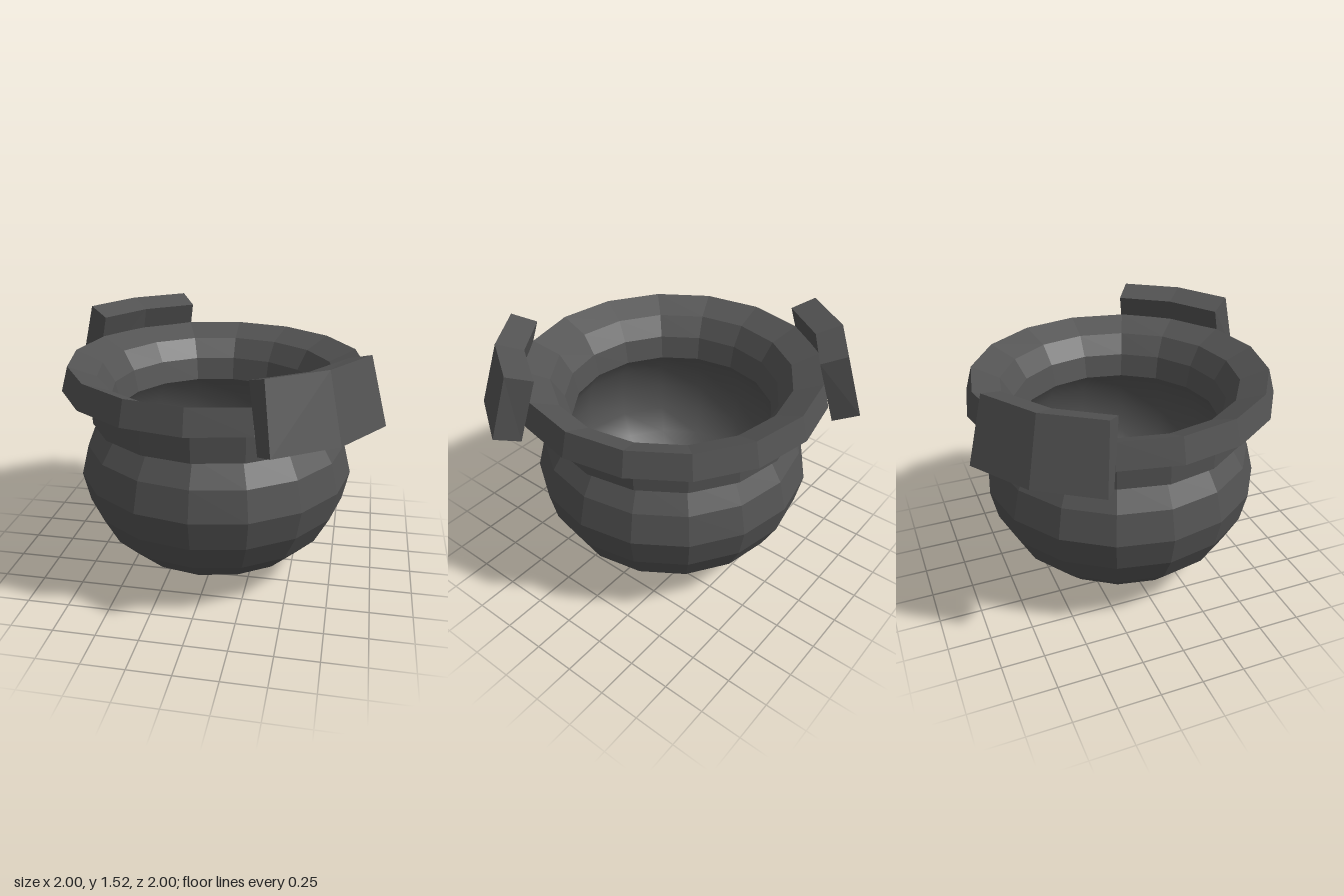
import * as THREE from 'three';

const SIDES = 16;
const COLOR = 0x525252;

function lathe(name, profile, flatShading) {
  const points = profile.map(([r, y]) => new THREE.Vector2(r, y));
  const mesh = new THREE.Mesh(
    new THREE.LatheGeometry(points, SIDES),
    new THREE.MeshStandardMaterial({ color: COLOR, flatShading })
  );
  mesh.name = name;
  return mesh;
}

// Bent, tilted slab swept through three four-cornered sections
function handleGeometry() {
  // each corner: [long side, short side, middle, height]
  const corners = [
    [0.90, 0.40, 0.70, 1.52], // outer top
    [1.00, 0.45, 0.78, 1.15], // outer bottom
    [0.87, 0.37, 0.66, 1.10], // inner bottom
    [0.78, 0.31, 0.59, 1.47], // inner top
  ];
  const sections = [
    corners.map(([l, s, , y]) => [l, y, s]),
    corners.map(([, , m, y]) => [m, y, m]),
    corners.map(([l, s, , y]) => [s, y, l]),
  ];
  const positions = [];
  const quad = (a, b, c, d) => positions.push(...a, ...b, ...c, ...a, ...c, ...d);
  for (let i = 0; i < 2; i++) {
    const p = sections[i], q = sections[i + 1];
    for (let k = 0; k < 4; k++) {
      const n = (k + 1) % 4;
      quad(p[k], q[k], q[n], p[n]);
    }
  }
  quad(...sections[0]);
  quad(...[...sections[2]].reverse());
  const geometry = new THREE.BufferGeometry();
  geometry.setAttribute('position', new THREE.Float32BufferAttribute(positions, 3));
  geometry.computeVertexNormals();
  return geometry;
}

export function createModel() {
  const group = new THREE.Group();
  group.name = 'cauldron';

  // Small smooth dimple underneath
  group.add(lathe('baseDimple', [[0, 0.05], [0.15, 0]], false));

  // Round belly
  group.add(lathe('belly', [
    [0.15, 0], [0.30, 0.05], [0.58, 0.19], [0.70, 0.31],
    [0.79, 0.48], [0.83, 0.66], [0.785, 0.84], [0.69, 0.99],
  ], true));

  // Collar, flared rim dipping inward, and mouth
  group.add(lathe('collarAndRim', [
    [0.69, 0.99], [0.75, 0.98], [0.75, 1.145], [0.915, 1.195],
    [0.875, 1.34], [0.71, 1.27], [0.635, 1.15], [0.605, 1.01],
  ], true));

  // Hollow inside, widening below the mouth
  group.add(lathe('basin', [
    [0.605, 1.01], [0.68, 0.89], [0.71, 0.72], [0.69, 0.55], [0.61, 0.40],
    [0.485, 0.28], [0.37, 0.20], [0.27, 0.15], [0, 0.08],
  ], false));

  // Two opposite handles on the diagonal
  const geometry = handleGeometry();
  const material = new THREE.MeshStandardMaterial({ color: COLOR, flatShading: true });
  ['frontHandle', 'backHandle'].forEach((name, i) => {
    const handle = new THREE.Mesh(geometry, material);
    handle.name = name;
    handle.rotation.y = i * Math.PI;
    group.add(handle);
  });

  return group;
}
